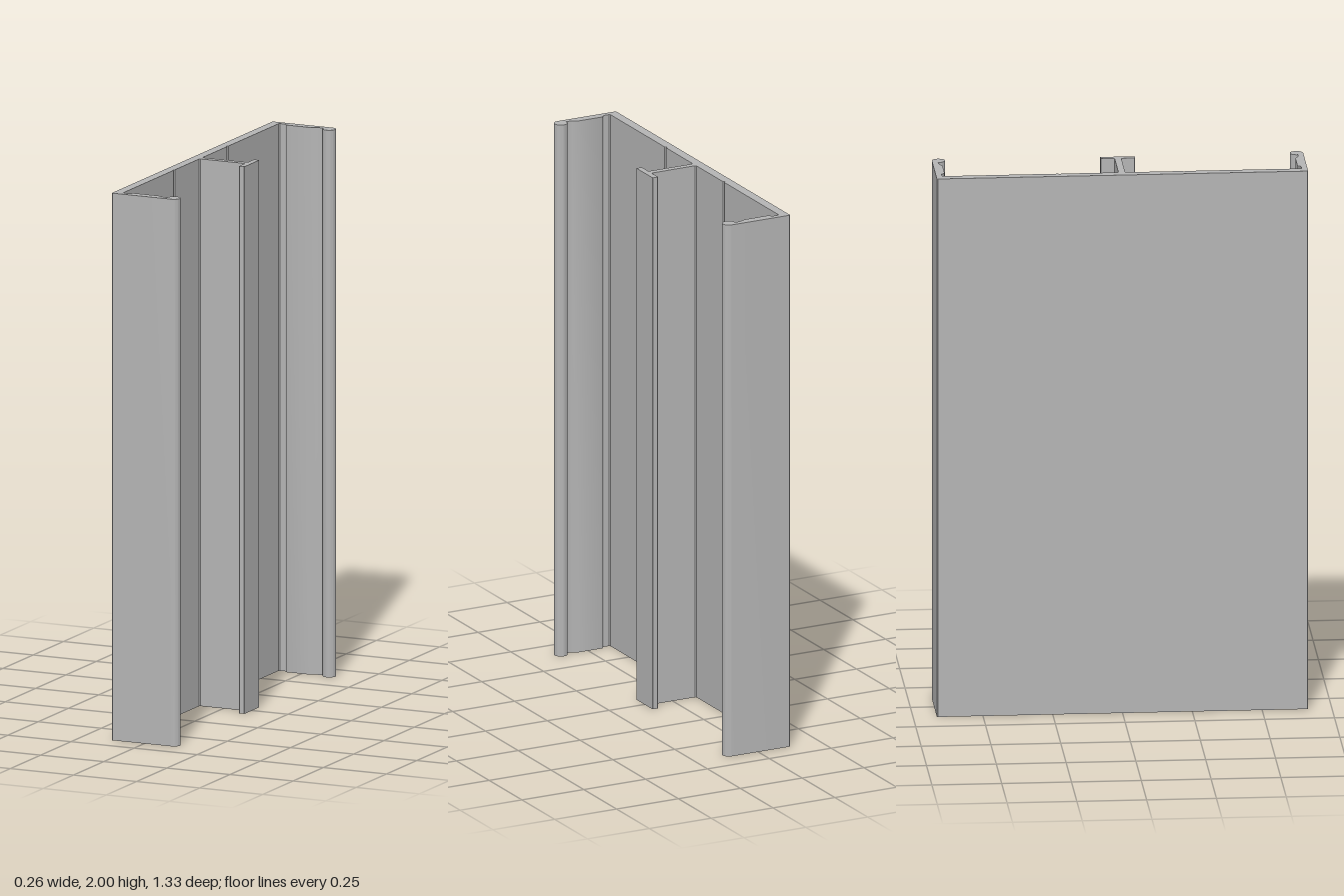
import * as THREE from 'three';
import { toCreasedNormals } from 'three/addons/utils/BufferGeometryUtils.js';

const HEIGHT = 2;

// Completes a half outline [x, z] by mirroring it across z = 0
function mirrored(half) {
  const other = half.map(([x, z]) => [x, -z]).reverse();
  return [...half, ...other];
}

// Stands a plan outline up as a vertical extrusion
function extrudeUp(outline) {
  const shape = new THREE.Shape(outline.map(([x, z]) => new THREE.Vector2(x, z)));
  const geometry = new THREE.ExtrudeGeometry(shape, { depth: HEIGHT, bevelEnabled: false });
  geometry.rotateX(-Math.PI / 2);
  return toCreasedNormals(geometry, 0.5);
}

// Points along an arc, angles in degrees
function arc(cx, cz, radius, from, to, steps) {
  return Array.from({ length: steps + 1 }, (_, i) => {
    const a = THREE.MathUtils.degToRad(from + ((to - from) * i) / steps);
    return [cx + radius * Math.cos(a), cz + radius * Math.sin(a)];
  });
}

export function createModel() {
  const group = new THREE.Group();
  group.name = 'extrudedChannel';
  const aluminium = new THREE.MeshStandardMaterial({ color: 0xb4b4b4 });
  aluminium.name = 'aluminium grey';

  const add = (name, half) => {
    const mesh = new THREE.Mesh(extrudeUp(mirrored(half)), aluminium);
    mesh.name = name;
    group.add(mesh);
  };

  // Back plate with scribed grooves and two side flanges ending in round beads
  add('channel', [
    [-0.095, 0.216], [-0.1, 0.22], [-0.1, 0.224], [-0.095, 0.228], // groove
    [-0.095, 0.64], [-0.091, 0.644], [-0.07, 0.644], // inner corner
    [-0.065, 0.641], [-0.062, 0.634], [-0.058, 0.632], // step up to thick part
    [0.038, 0.632], [0.06, 0.642], [0.07, 0.644],
    ...arc(0.106, 0.641, 0.024, 172, 450, 20), // bead
    [-0.127, 0.665], [-0.13, 0.662], // outer corner
  ]);

  // Central T-shaped rib, rooted on the back plate
  add('centreRib', [
    [-0.095, 0.016], [-0.091, 0.012], [0.085, 0.012],
    [0.085, 0.06], [0.087, 0.062], [0.105, 0.062], [0.107, 0.06],
  ]);

  return group;
}
